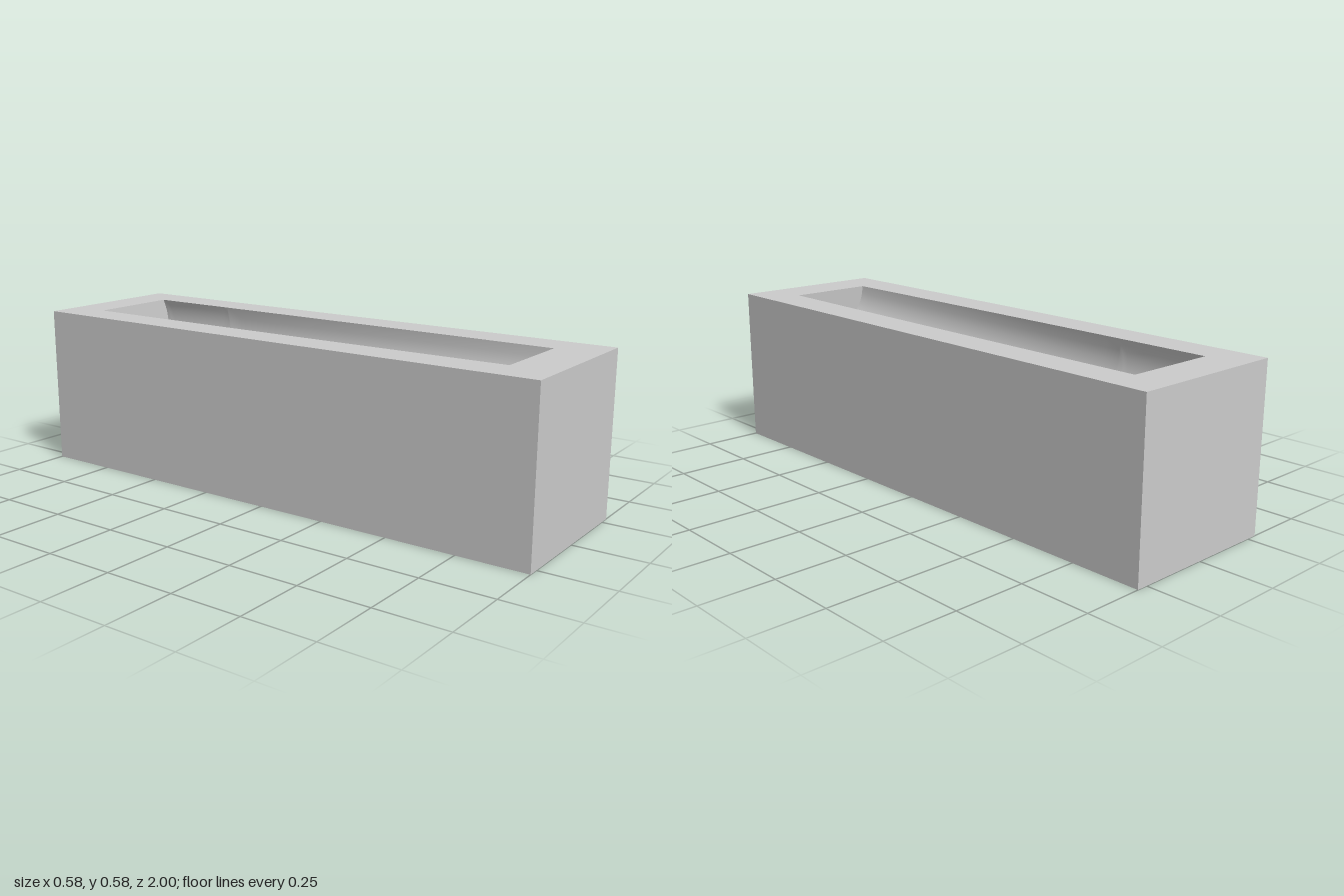
import * as THREE from 'three';
import { mergeGeometries, mergeVertices } from 'three/addons/utils/BufferGeometryUtils.js';

const W = 0.577, H = 0.577, L = 2;             // block size
const BACK = -0.86, FRONT = 0.84, LEAN = 0.088; // trough ends and tilt of its sections
const HOLE_Z = -0.67, HOLE_R = 0.145;           // drain hole
const PATCH = 0.2;                              // share of the trough that surrounds the hole
const SEG = 96;
const lerp = THREE.MathUtils.lerp;

// Circular section at w (0 = back, 1 = front): radius, depth of centre, half angle
function section(w) {
  const r = lerp(0.183, 0.157, w), c = lerp(0.076, 0.005, w);
  return { r, c, max: Math.acos(-c / r) };
}

// Point on the trough; u runs from -1 to 1 across it
function trough(u, w) {
  const { r, c, max } = section(w);
  const depth = c + r * Math.cos(u * max);
  return new THREE.Vector3(r * Math.sin(u * max), H - depth, lerp(BACK, FRONT, w) + LEAN * depth);
}

// Trough coordinates straight above a plan position
function locate(x, z) {
  let u = 0, w = 0.1;
  for (let k = 0; k < 12; k++) {
    const { r, c, max } = section(w);
    const phi = Math.asin(x / r);
    u = phi / max;
    w = (z - LEAN * (c + r * Math.cos(phi)) - BACK) / (FRONT - BACK);
  }
  return [u, w];
}

// Surface from a rule fn(s, t), both 0..1
function grid(fn, n, m) {
  const pos = [], idx = [];
  for (let i = 0; i <= n; i++)
    for (let j = 0; j <= m; j++) {
      pos.push(...fn(i / n, j / m).toArray());
      if (i < n && j < m) {
        const a = i * (m + 1) + j, b = a + m + 1;
        idx.push(a, b, a + 1, b, b + 1, a + 1);
      }
    }
  const g = new THREE.BufferGeometry();
  g.setAttribute('position', new THREE.Float32BufferAttribute(pos, 3));
  g.setIndex(idx);
  return g;
}

function smooth(g) {
  const merged = mergeVertices(g, 1e-5);
  merged.computeVertexNormals();
  return merged;
}

export function createModel() {
  const group = new THREE.Group();
  const mat = new THREE.MeshStandardMaterial({ color: 0xcccccc, side: THREE.DoubleSide });
  const add = (name, geo) => {
    const mesh = new THREE.Mesh(geo, mat);
    mesh.name = name;
    group.add(mesh);
    return mesh;
  };

  // Outer walls
  for (let i = 0; i < 4; i++) {
    const end = i % 2 === 0;
    const g = new THREE.PlaneGeometry(end ? W : L, H);
    g.translate(0, H / 2, (end ? L : W) / 2).rotateY(i * Math.PI / 2);
    add(['frontWall', 'leftWall', 'backWall', 'rightWall'][i], g);
  }

  // Top rim around the trough opening, and bottom with the round hole
  const rect = () => new THREE.Shape([[-1, -1], [1, -1], [1, 1], [-1, 1]]
    .map(([x, y]) => new THREE.Vector2(x * W / 2, y * L / 2)));
  const opening = [];
  for (const side of [-1, 1])
    for (let i = 0; i <= 24; i++) {
      const p = trough(side, side < 0 ? i / 24 : 1 - i / 24);
      opening.push(new THREE.Vector2(p.x, -p.z));
    }
  const rim = rect();
  rim.holes.push(new THREE.Path(opening));
  add('topRim', new THREE.ShapeGeometry(rim).rotateX(-Math.PI / 2).translate(0, H, 0));

  const base = rect();
  base.holes.push(new THREE.Path().absarc(0, HOLE_Z, HOLE_R, 0, Math.PI * 2, true));
  add('bottom', new THREE.ShapeGeometry(base, SEG / 2).rotateX(Math.PI / 2));

  // Trough: a plain length, plus a patch that blends from the hole out to its borders
  const strip = grid((s, t) => trough(Math.tan((t - 0.5) * Math.PI / 2), lerp(PATCH, 1, s)), 24, SEG / 4);
  const holeEdge = s => {
    const a = s * Math.PI * 2;
    return locate(HOLE_R * Math.cos(a), HOLE_Z + HOLE_R * Math.sin(a));
  };
  const patch = grid((s, t) => {
    const a = s * Math.PI * 2, x = Math.cos(a), y = Math.sin(a);
    const k = Math.max(Math.abs(x), Math.abs(y));
    const [u, w] = holeEdge(s);
    return trough(lerp(u, x / k, t), lerp(w, PATCH / 2 * (1 + y / k), t));
  }, SEG, 10);
  add('trough', smooth(mergeGeometries([strip, patch])));

  // Flat end walls of the trough
  for (const [name, w, dir] of [['troughBackEnd', 0, 1], ['troughFrontEnd', 1, -1]]) {
    const top = new THREE.Vector3(0, H, w ? FRONT : BACK);
    add(name, smooth(grid((s, t) =>
      trough(Math.tan((s - 0.5) * Math.PI / 2) * dir, w).lerp(top, t), SEG / 4, 1)));
  }

  // Drain hole from the underside up to the trough floor
  add('drainHole', smooth(grid((s, t) => {
    const p = trough(...holeEdge(s));
    p.y *= t;
    return p;
  }, SEG, 1)));

  return group;
}
